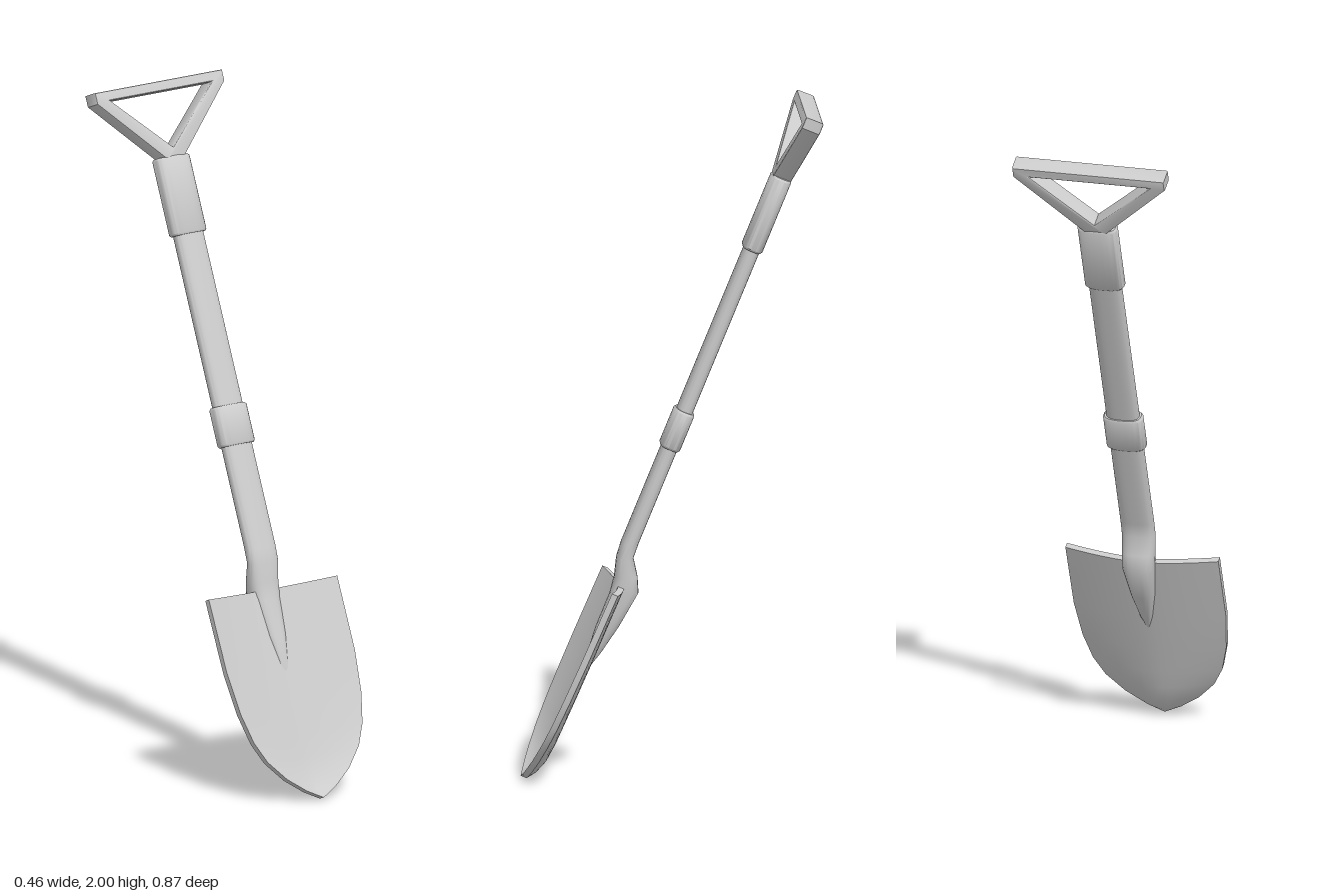
import * as THREE from 'three';
import { toCreasedNormals } from 'three/addons/utils/BufferGeometryUtils.js';

const TILT = 0.39;
const material = new THREE.MeshStandardMaterial({ color: 0xcccccc, roughness: 0.7 });

function addMesh(parent, name, geometry) {
  const mesh = new THREE.Mesh(geometry, material);
  mesh.name = name;
  parent.add(mesh);
  return mesh;
}

// Skins a stack of equal-length rings from bottom to top and caps both ends.
function loft(rings, crease = 0.7) {
  const n = rings[0].length, index = [], top = (rings.length - 1) * n;
  for (let i = 0; i < rings.length - 1; i++) {
    for (let j = 0; j < n; j++) {
      const a = i * n + j, b = i * n + (j + 1) % n, c = b + n, d = a + n;
      index.push(a, d, b, b, d, c);
    }
  }
  for (let k = 0; k < n / 2 - 1; k++) {
    const m = n - 1 - k;
    index.push(top + k, top + m, top + k + 1, top + k + 1, top + m, top + m - 1);
    index.push(k, k + 1, m, k + 1, m - 1, m);
  }
  const geo = new THREE.BufferGeometry();
  geo.setAttribute('position', new THREE.Float32BufferAttribute(rings.flat(2), 3));
  geo.setIndex(index);
  return toCreasedNormals(geo, crease);
}

// Rounded, flattened cross-section at height y, centred on z.
function ovalRing([y, z, halfWidth, halfDepth], sides = 24, power = 2.7) {
  return Array.from({ length: sides }, (_, i) => {
    const a = ((i + 0.5) / sides) * Math.PI * 2;
    const c = Math.cos(a), s = Math.sin(a);
    return [
      halfWidth * Math.sign(c) * Math.abs(c) ** (2 / power),
      y,
      z + halfDepth * Math.sign(s) * Math.abs(s) ** (2 / power),
    ];
  });
}

// Blade cross-section: dished front, then the back at constant thickness.
function bladeRing([s, halfWidth, dish], columns = 20, thickness = 0.019) {
  const front = [], back = [];
  for (let i = 0; i <= columns; i++) {
    const t = 1 - (2 * i) / columns;
    const z = -dish * (1 - Math.abs(t) ** 1.6);
    front.push([halfWidth * t, s, z]);
    back.unshift([halfWidth * t, s, z - thickness]);
  }
  return [...front, ...back];
}

export function createModel() {
  const shovel = new THREE.Group();
  shovel.name = 'shovel';

  // Shaft, bending into a pointed socket that straddles the blade
  addMesh(shovel, 'shaftAndSocket', loft([
    [0.325, 0.25, 0.003, 0.008],
    [0.37, 0.226, 0.018, 0.02],
    [0.45, 0.186, 0.034, 0.034],
    [0.55, 0.137, 0.047, 0.042],
    [0.60, 0.132, 0.049, 0.034],
    [0.655, 0.135, 0.05, 0.025],
    [0.70, 0.12, 0.05, 0.026],
    [1.75, -0.312, 0.049, 0.026],
  ].map((r) => ovalRing(r))));

  // Parts measured along the tilted shaft
  const upper = new THREE.Group();
  upper.name = 'upperFittings';
  upper.position.set(0, 0.98, 0.005);
  upper.rotation.x = -TILT;
  shovel.add(upper);

  // Collars with small chamfers
  for (const [name, from, to] of [['middleCollar', 0, 0.12], ['gripCollar', 0.635, 0.868]]) {
    addMesh(upper, name, loft([
      [from, 0, 0.055, 0.028],
      [from + 0.006, 0, 0.06, 0.032],
      [to - 0.006, 0, 0.06, 0.032],
      [to, 0, 0.055, 0.028],
    ].map((r) => ovalRing(r))));
  }

  // Triangular grip with an open centre
  const outline = new THREE.Shape([
    [-0.028, 0.857], [0.028, 0.857], [0.23, 1.056], [0.23, 1.09], [-0.23, 1.09], [-0.23, 1.056],
  ].map(([x, y]) => new THREE.Vector2(x, y)));
  outline.holes.push(new THREE.Path([
    [0, 0.893], [-0.182, 1.06], [0.182, 1.06],
  ].map(([x, y]) => new THREE.Vector2(x, y))));
  const grip = new THREE.ExtrudeGeometry(outline, {
    depth: 0.046, bevelEnabled: true, bevelSize: 0.005, bevelThickness: 0.005,
    bevelOffset: -0.005, bevelSegments: 2,
  });
  grip.translate(0, 0, -0.023);
  addMesh(upper, 'handleGrip', toCreasedNormals(grip, 0.6));

  // Dished blade: distance from the tip, half width, dish depth
  const blade = addMesh(shovel, 'blade', loft([
    [0, 0.002, 0],
    [0.027, 0.053, 0.018],
    [0.071, 0.112, 0.032],
    [0.131, 0.165, 0.036],
    [0.194, 0.196, 0.036],
    [0.284, 0.218, 0.036],
    [0.41, 0.231, 0.036],
    [0.633, 0.232, 0.034],
  ].map((r) => bladeRing(r))));
  blade.position.set(0, 0.008, 0.44);
  blade.rotation.x = -0.412;

  return shovel;
}
